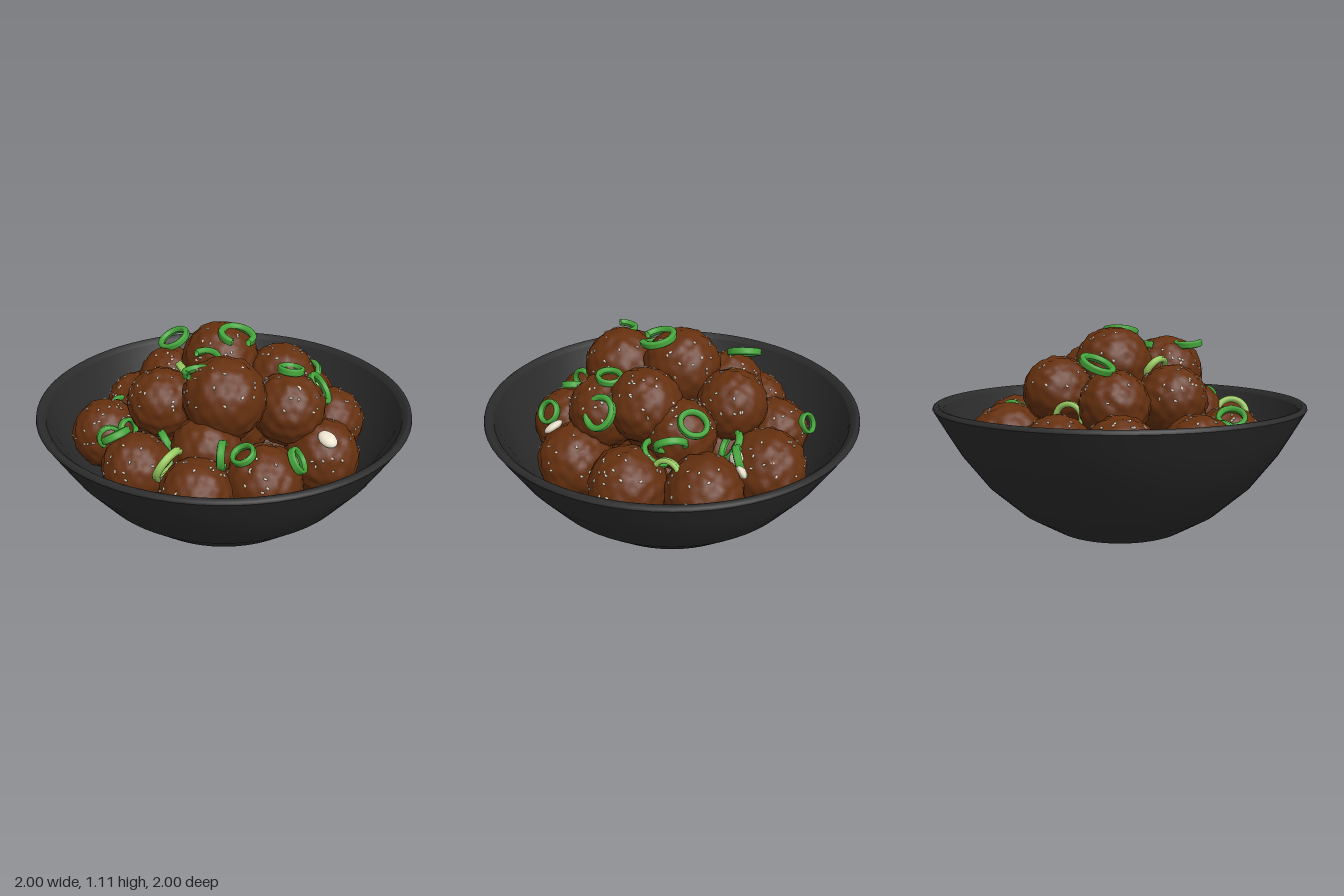
import * as THREE from 'three';
import { mergeGeometries, mergeVertices } from 'three/addons/utils/BufferGeometryUtils.js';

const mat = (name, color, side = THREE.FrontSide) => {
  const m = new THREE.MeshStandardMaterial({ color, side });
  m.name = name;
  return m;
};
const UP = new THREE.Vector3(0, 1, 0);

// x, y, z, radius of each meatball; the last rows are the hidden filling
const BALLS = [
  [-0.17, 0.51, -0.56, 0.185], [0.155, 0.5, -0.55, 0.185], [-0.51, 0.5, -0.39, 0.19],
  [0.5, 0.5, -0.36, 0.205], [0.63, 0.5, 0.01, 0.195], [-0.6, 0.5, 0.01, 0.18],
  [-0.53, 0.49, 0.38, 0.18], [0.48, 0.51, 0.35, 0.195], [-0.24, 0.5, 0.54, 0.195],
  [0.17, 0.5, 0.56, 0.195],
  [-0.08, 0.71, -0.36, 0.18], [0.26, 0.76, -0.25, 0.185], [-0.32, 0.72, -0.13, 0.185],
  [0.36, 0.68, 0.05, 0.18], [0.23, 0.8, 0.2, 0.19], [0.1, 0.73, 0.38, 0.19],
  [-0.2, 0.83, 0.22, 0.21], [0.02, 0.89, -0.05, 0.205],
  [-0.35, 0.6, 0.25, 0.18], [0, 0.6, 0.1, 0.2], [0.28, 0.34, 0.1, 0.2],
  [-0.25, 0.34, 0.12, 0.2], [0.02, 0.34, -0.25, 0.2],
];

// x, z, outer radius, tilt, turn (degrees), arc (degrees), light green?
const RINGS = [
  [0.26, -0.68, 0.06, 15, 40, 360], [-0.33, -0.48, 0.085, 70, 70, 360],
  [0.44, -0.2, 0.09, 10, 60, 360], [0.57, -0.2, 0.085, 65, -20, 360],
  [0.49, 0.03, 0.08, -15, 90, 360], [0.51, 0.14, 0.085, 60, 80, 360],
  [0.46, 0.21, 0.085, 35, 60, 360], [0.58, 0.17, 0.08, 65, 70, 360, true],
  [-0.22, -0.06, 0.085, 20, 90, 230, true], [-0.18, 0.07, 0.08, 60, -15, 200],
  [-0.44, 0.03, 0.07, 15, 0, 360], [-0.63, -0.11, 0.08, 10, 30, 360],
  [-0.6, -0.24, 0.065, 25, 0, 300], [-0.5, -0.22, 0.065, 15, 50, 290],
  [-0.58, 0.25, 0.1, -15, 0, 360, true], [-0.33, 0.19, 0.08, 40, 90, 190],
  [-0.33, 0.5, 0.065, 5, 0, 360], [-0.4, 0.41, 0.075, 60, 60, 360],
  [-0.14, 0.65, 0.07, 10, 0, 360], [0.13, 0.36, 0.07, 5, 0, 360],
  [0.01, 0.2, 0.05, 20, 0, 280], [0.14, -0.43, 0.085, 50, 0, 360, true],
  [-0.3, -0.34, 0.08, 65, 60, 300, true], [0.02, 0.07, 0.1, -22, 0, 300],
];

function createRandom(seed) {
  return () => {
    seed = (seed * 1664525 + 1013904223) % 4294967296;
    return seed / 4294967296;
  };
}

// Highest meatball surface under (x, z), with its normal
function surfaceAt(x, z) {
  let best = { point: new THREE.Vector3(x, 0.5, z), normal: UP.clone() };
  for (const [bx, by, bz, r] of BALLS) {
    const d2 = (x - bx) ** 2 + (z - bz) ** 2;
    if (d2 >= r * r) continue;
    const y = by + Math.sqrt(r * r - d2);
    if (y > best.point.y) {
      best = { point: new THREE.Vector3(x, y, z), normal: new THREE.Vector3(x - bx, y - by, z - bz).normalize() };
    }
  }
  return best;
}

function lathe(points, segments = 72, arc = 360) {
  return new THREE.LatheGeometry(points.map(([x, y]) => new THREE.Vector2(x, y)), segments, 0, THREE.MathUtils.degToRad(arc));
}

// Sphere with small lumps
function meatballGeometry(r, seed) {
  let g = new THREE.IcosahedronGeometry(1, 11);
  g.deleteAttribute('uv');
  g.deleteAttribute('normal');
  g = mergeVertices(g, 1e-4);
  const p = g.attributes.position, v = new THREE.Vector3();
  for (let i = 0; i < p.count; i++) {
    v.fromBufferAttribute(p, i).normalize();
    const bump = Math.sin(v.x * 13 + seed) * Math.sin(v.y * 12 + seed * 2) * Math.sin(v.z * 13 + seed * 3)
      + 0.5 * Math.sin(v.x * 7 - v.y * 9 + seed) * Math.sin(v.z * 9 + v.y * 5);
    v.multiplyScalar(r * (1 + 0.038 * bump));
    p.setXYZ(i, v.x, v.y, v.z);
  }
  g.computeVertexNormals();
  return g;
}

// Onion slice: closed section with a groove round its outside
function onionGeometry(outer, arc) {
  const w = outer * 0.18, h = 0.02, c = outer - w;
  const section = [[-1, 0], [-0.7, -0.75], [0, -1], [0.75, -0.8], [1, -0.4], [0.75, 0],
    [1, 0.4], [0.75, 0.8], [0, 1], [-0.7, 0.75], [-1, 0]];
  return lathe(section.map(([a, b]) => [c + a * w, b * h]), 32, arc);
}

export function createModel() {
  const model = new THREE.Group();
  model.name = 'meatballBowl';
  const bowlMat = mat('charcoal', 0x2c2c2c);
  const meatMat = mat('glazed brown', 0x65300f);
  const greenMat = mat('onion green', 0x46a53c, THREE.DoubleSide);
  const lightMat = mat('pale onion green', 0x98c860, THREE.DoubleSide);
  const seedMat = mat('sesame cream', 0xeee4d0);
  const add = (parent, name, geometry, material) => {
    const mesh = new THREE.Mesh(geometry, material);
    mesh.name = name;
    parent.add(mesh);
    return mesh;
  };
  const group = (name) => {
    const g = new THREE.Group();
    g.name = name;
    model.add(g);
    return g;
  };

  // Bowl
  const bowl = group('bowl');
  add(bowl, 'bowlBase', lathe([[0, 0], [0.38, 0]]), bowlMat);
  add(bowl, 'bowlOutside', lathe([[0.38, 0], [0.56, 0.11], [0.735, 0.27], [0.87, 0.45], [0.95, 0.59], [1, 0.68]]), bowlMat);
  add(bowl, 'bowlRim', lathe([[1, 0.68], [0.997, 0.692], [0.985, 0.7], [0.97, 0.697], [0.95, 0.675]]), bowlMat);
  add(bowl, 'bowlInside', lathe([[0.95, 0.675], [0.91, 0.59], [0.83, 0.45], [0.69, 0.28], [0.52, 0.14], [0.34, 0.05], [0, 0.04]]), bowlMat);

  // Meatballs, sprinkled with sesame
  const meatballs = group('meatballs');
  const random = createRandom(7);
  const seeds = [];
  const grain = new THREE.SphereGeometry(1, 6, 4);
  const dummy = new THREE.Object3D();
  BALLS.forEach(([x, y, z, r], i) => {
    const ball = add(meatballs, 'meatball', meatballGeometry(r, i * 1.7), meatMat);
    ball.position.set(x, y, z);
    if (i > 17) return;
    for (let k = 0; k < 32; k++) {
      const a = random() * Math.PI * 2, h = 0.1 + random() * 0.88, s = Math.sqrt(1 - h * h);
      const n = new THREE.Vector3(Math.cos(a) * s, h, Math.sin(a) * s);
      const p = new THREE.Vector3(x, y, z).addScaledVector(n, r + 0.003);
      if (BALLS.some(([bx, by, bz, br], j) => j !== i && p.distanceTo(new THREE.Vector3(bx, by, bz)) < br)) continue;
      dummy.position.copy(p);
      dummy.quaternion.setFromUnitVectors(UP, n);
      dummy.rotateY(random() * Math.PI);
      dummy.scale.set(0.011, 0.004, 0.0065);
      dummy.updateMatrix();
      seeds.push(grain.clone().applyMatrix4(dummy.matrix));
    }
  });
  add(model, 'sesameSeeds', mergeGeometries(seeds), seedMat);

  // Spring onion slices
  const onions = group('springOnions');
  for (const [x, z, r, tilt, turn, arc, light] of RINGS) {
    const { point, normal } = surfaceAt(x, z);
    const ring = add(onions, 'onionSlice', onionGeometry(r, arc), light ? lightMat : greenMat);
    ring.position.copy(point).addScaledVector(normal, 0.015);
    ring.quaternion.setFromUnitVectors(UP, normal);
    ring.rotateY(THREE.MathUtils.degToRad(turn));
    ring.rotateX(THREE.MathUtils.degToRad(tilt));
  }
  // Two raised slices: one flat at the back, one upright at the front
  const backSlice = add(onions, 'onionSlice', onionGeometry(0.095, 360), greenMat);
  backSlice.position.set(-0.01, 0.92, -0.41);
  backSlice.rotation.set(-0.15, 0, 0.45);
  const frontSlice = add(onions, 'onionSlice', onionGeometry(0.095, 360), greenMat);
  frontSlice.position.set(0.27, 0.81, 0.44);
  frontSlice.rotation.set(0.85, 0, -0.45);

  // Pale kernels
  const kernels = group('kernels');
  for (const [x, z, turn] of [[-0.05, 0.55, 0.2], [0.095, 0.65, 0.1], [0.64, -0.16, 1.2], [0.54, -0.19, 1.4]]) {
    const { point, normal } = surfaceAt(x, z);
    const kernel = add(kernels, 'kernel', new THREE.SphereGeometry(1, 16, 12), seedMat);
    kernel.position.copy(point).addScaledVector(normal, 0.012);
    kernel.quaternion.setFromUnitVectors(UP, normal);
    kernel.rotateY(turn);
    kernel.scale.set(0.04, 0.022, 0.054);
  }
  return model;
}
